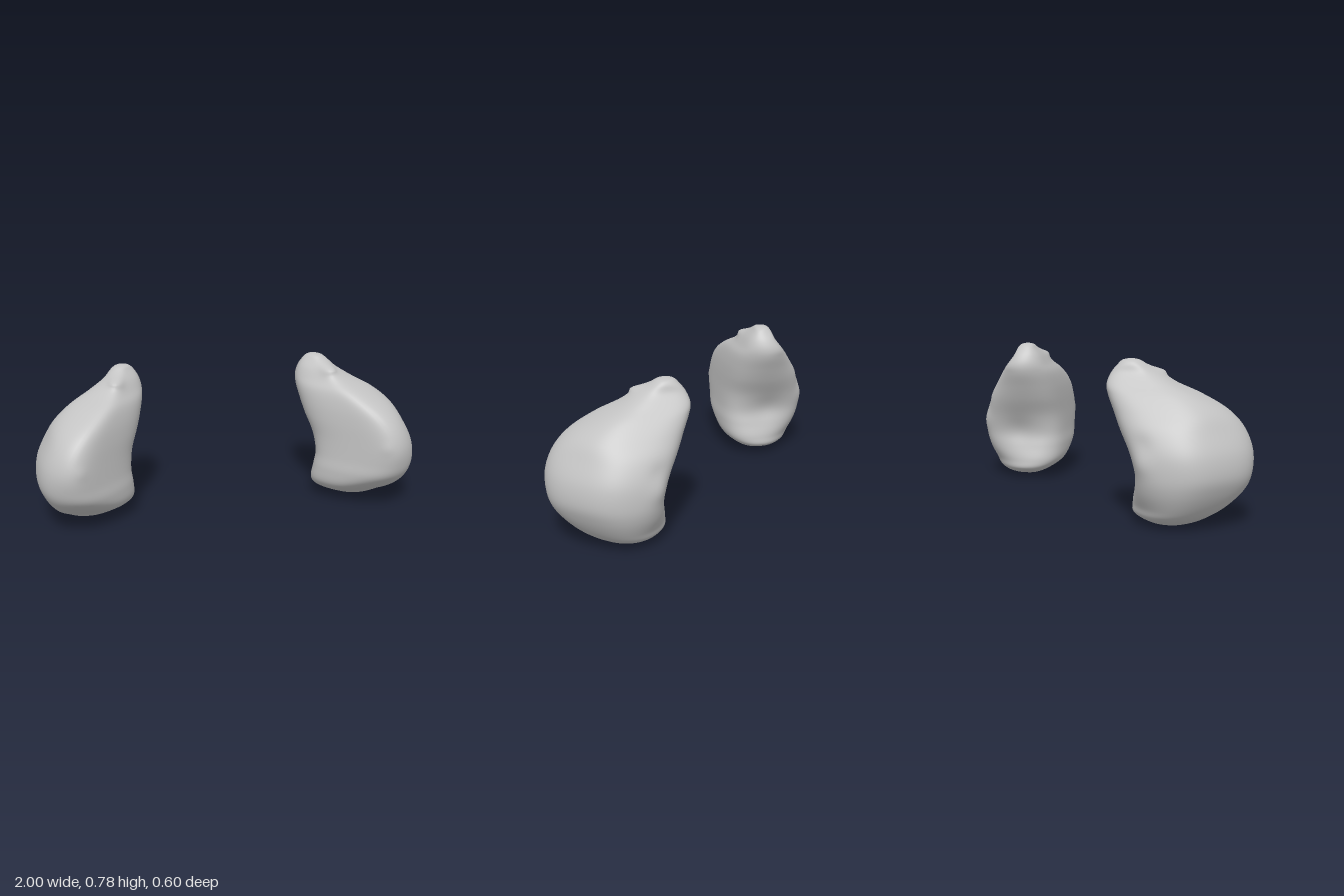
import * as THREE from 'three';

const R = Math.SQRT1_2;
const RINGS = 80, SEGS = 88, POWER = 6;

// Cross-sections from base to peak: the extent of the lobe along x, z and both diagonals
// [y, xMin, xMax, zMin, zMax, uMin, uMax, vMin, vMax], u = (x+z)/√2, v = (x-z)/√2
const sections = [
  [0.0, 0.71, 0.73, -0.09, -0.07, 0.443, 0.463, 0.556, 0.576],
  [0.015, 0.61, 0.80, -0.17, 0.0, 0.36, 0.56, 0.49, 0.645],
  [0.05, 0.515, 0.87, -0.23, 0.05, 0.265, 0.655, 0.415, 0.715],
  [0.10, 0.475, 0.92, -0.25, 0.14, 0.26, 0.735, 0.355, 0.755],
  [0.18, 0.47, 0.968, -0.295, 0.255, 0.28, 0.80, 0.34, 0.79],
  [0.26, 0.475, 0.993, -0.325, 0.30, 0.29, 0.825, 0.345, 0.803],
  [0.36, 0.475, 0.983, -0.325, 0.335, 0.255, 0.82, 0.348, 0.795],
  [0.46, 0.445, 0.938, -0.325, 0.305, 0.20, 0.78, 0.35, 0.755],
  [0.54, 0.43, 0.893, -0.32, 0.25, 0.16, 0.70, 0.356, 0.70],
  [0.61, 0.42, 0.818, -0.32, 0.15, 0.13, 0.575, 0.37, 0.645],
  [0.66, 0.42, 0.72, -0.325, 0.05, 0.13, 0.46, 0.395, 0.60],
  [0.71, 0.435, 0.63, -0.295, -0.03, 0.15, 0.38, 0.42, 0.56],
  [0.75, 0.46, 0.585, -0.245, -0.11, 0.18, 0.315, 0.45, 0.545],
  [0.768, 0.485, 0.56, -0.22, -0.14, 0.20, 0.285, 0.465, 0.53],
  [0.775, 0.51, 0.53, -0.19, -0.17, 0.23, 0.25, 0.485, 0.505],
];
const axes = [[1, 0], [0, 1], [R, R], [R, -R]];

// Local knobs and hollows: [x, y, z, radius, height]
const bumps = [
  [0.57, 0.72, -0.055, 0.035, 0.03],
  [0.78, 0.36, 0.30, 0.03, 0.008],
  [0.60, 0.27, -0.20, 0.09, -0.015],
  [0.80, 0.32, -0.31, 0.05, 0.01],
  [0.78, 0.41, -0.30, 0.04, -0.008],
];

// Smooth interpolation between neighbouring sections
function sectionAt(t) {
  const last = sections.length - 1;
  const i = Math.min(Math.floor(t * last), last - 1), f = t * last - i;
  const row = (k) => sections[THREE.MathUtils.clamp(k, 0, last)];
  const [a, b, c, d] = [row(i - 1), row(i), row(i + 1), row(i + 2)];
  return b.map((p, k) => {
    const m0 = (c[k] - a[k]) / 2, m1 = (d[k] - p) / 2, f2 = f * f, f3 = f2 * f;
    return p * (2 * f3 - 3 * f2 + 1) + m0 * (f3 - 2 * f2 + f) + c[k] * (3 * f2 - 2 * f3) + m1 * (f3 - f2);
  });
}

// One organic lobe; side = 1 for the left, -1 for its mirror image
function lobeGeometry(side) {
  const pos = [], index = [];
  for (let i = 0; i <= RINGS; i++) {
    const s = sectionAt(i / RINGS), y = s[0];
    const u = (s[5] + s[6]) / 2, v = (s[7] + s[8]) / 2;
    const cx = (u + v) * R, cz = (u - v) * R;
    for (let j = 0; j < SEGS; j++) {
      const a = (j / SEGS) * Math.PI * 2, dx = Math.cos(a), dz = Math.sin(a);
      // Rounded polygon bounded by the four pairs of extents
      let sum = 0;
      axes.forEach(([nx, nz], k) => {
        const d = nx * dx + nz * dz, c = nx * cx + nz * cz;
        const reach = d > 0 ? s[2 + 2 * k] - c : c - s[1 + 2 * k];
        sum += (Math.abs(d) / Math.max(reach, 0.004)) ** POWER;
      });
      let r = 1.035 * sum ** (-1 / POWER);
      const x = cx + r * dx, z = cz + r * dz;
      for (const [bx, by, bz, size, height] of bumps) {
        const d2 = (x - bx) ** 2 + (y - by) ** 2 + (z - bz) ** 2;
        r += height * Math.exp(-d2 / (size * size));
      }
      pos.push(side * (cx + r * dx), y, cz + r * dz);
    }
  }
  const tri = (a, b, c) => (side > 0 ? index.push(a, b, c) : index.push(a, c, b));
  for (let i = 0; i < RINGS; i++) {
    for (let j = 0; j < SEGS; j++) {
      const a = i * SEGS + j, b = i * SEGS + ((j + 1) % SEGS);
      tri(a, a + SEGS, b);
      tri(b, a + SEGS, b + SEGS);
    }
  }
  // Close the base and the peak
  const top = RINGS * SEGS, base = pos.length / 3;
  pos.push(side * 0.72, 0, -0.08, side * 0.52, 0.776, -0.18);
  for (let j = 0; j < SEGS; j++) {
    const n = (j + 1) % SEGS;
    tri(base, j, n);
    tri(base + 1, top + n, top + j);
  }
  const geo = new THREE.BufferGeometry();
  geo.setAttribute('position', new THREE.Float32BufferAttribute(pos, 3));
  geo.setIndex(index);
  geo.computeVertexNormals();
  return geo;
}

export function createModel() {
  const group = new THREE.Group();
  group.name = 'pairedLobes';
  const grey = new THREE.MeshStandardMaterial({ color: 0xc4c4c4 });
  grey.name = 'light grey';
  for (const [side, name] of [[1, 'leftLobe'], [-1, 'rightLobe']]) {
    const mesh = new THREE.Mesh(lobeGeometry(side), grey);
    mesh.name = name;
    group.add(mesh);
  }
  return group;
}
